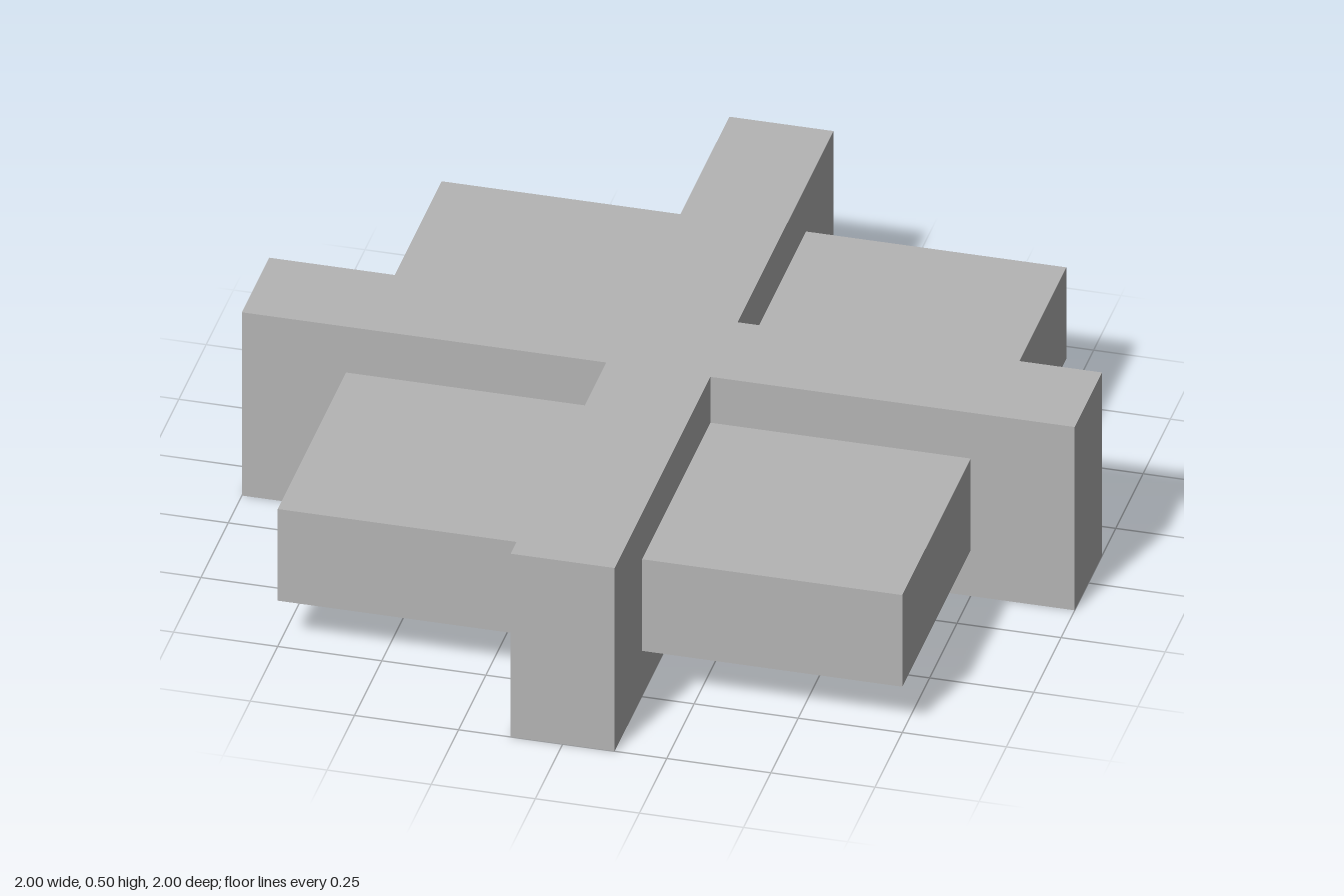
import * as THREE from 'three';

export function createModel() {
  const model = new THREE.Group();
  const grey = new THREE.MeshStandardMaterial({ color: 0xb4b4b4 });
  grey.name = 'grey';

  const w = 0.125; // half thickness of the walls
  const reach = 1; // half length of the walls
  const height = 0.5;

  // Two crossing upright walls, extruded from one plus-shaped outline
  const outline = [];
  for (let i = 0; i < 4; i++) {
    for (const [x, y] of [[reach, -w], [reach, w], [w, w]]) {
      outline.push(new THREE.Vector2(x, y).rotateAround(new THREE.Vector2(), i * Math.PI / 2));
    }
  }
  const crossGeometry = new THREE.ExtrudeGeometry(new THREE.Shape(outline), { depth: height, bevelEnabled: false });
  crossGeometry.rotateX(-Math.PI / 2);
  const cross = new THREE.Mesh(crossGeometry, grey);
  cross.name = 'crossWalls';
  model.add(cross);

  // Four square slabs fitted in the corners, at mid height
  const size = 0.75 - w;
  const slabGeometry = new THREE.BoxGeometry(size, 0.25, size);
  for (const sx of [-1, 1]) {
    for (const sz of [-1, 1]) {
      const slab = new THREE.Mesh(slabGeometry, grey);
      slab.name = (sz > 0 ? 'front' : 'back') + (sx > 0 ? 'Left' : 'Right') + 'Slab';
      slab.position.set(sx * (w + size / 2), height / 2, sz * (w + size / 2));
      model.add(slab);
    }
  }
  return model;
}
